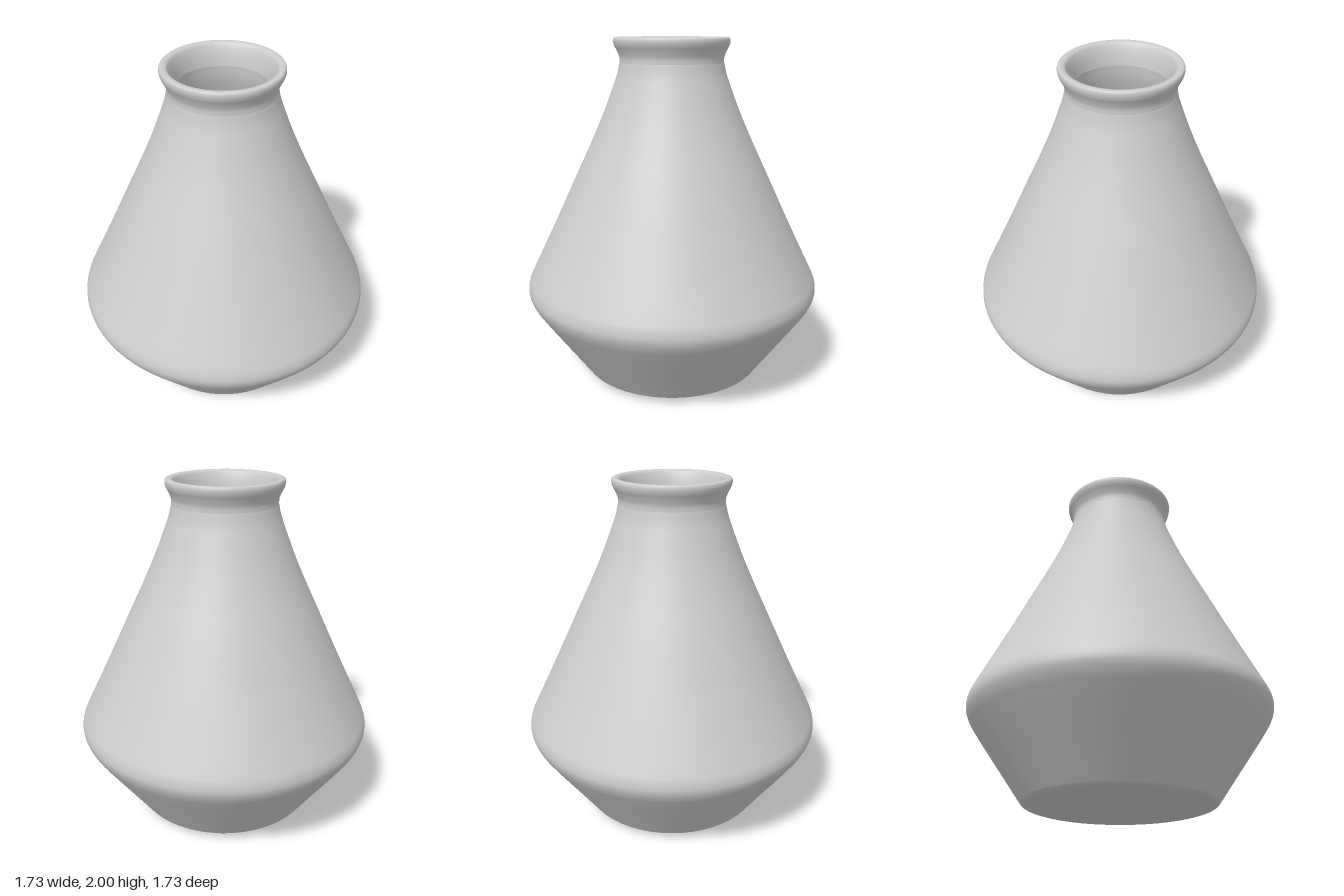
import * as THREE from 'three';

const material = new THREE.MeshStandardMaterial({ color: 0xcccccc, side: THREE.DoubleSide });

// Turned surface through a smooth curve of [radius, height] points
function turned(name, points, samples) {
  const curve = new THREE.CatmullRomCurve3(
    points.map(([r, y]) => new THREE.Vector3(r, y, 0)), false, 'centripetal');
  const profile = curve.getPoints(samples).map(p => new THREE.Vector2(Math.max(p.x, 0), p.y));
  const geometry = new THREE.LatheGeometry(profile, 96);

  // Hand-thrown lean: the neck drifts slightly sideways above the belly
  const pos = geometry.attributes.position;
  for (let i = 0; i < pos.count; i++) {
    const lean = Math.max(0, pos.getY(i) - 0.54) / 1.46;
    pos.setX(i, pos.getX(i) - 0.008 * lean);
  }
  const mesh = new THREE.Mesh(geometry, material);
  mesh.name = name;
  return mesh;
}

export function createModel() {
  const vase = new THREE.Group();
  vase.name = 'vase';

  // Slightly domed underside with a rounded foot edge
  vase.add(turned('base', [
    [0, 0], [0.25, 0.006], [0.42, 0.014], [0.5, 0.024], [0.535, 0.037], [0.552, 0.058],
  ], 40));

  // Flared lower body, rounded belly, tapering shoulder and neck
  vase.add(turned('body', [
    [0.552, 0.058], [0.65, 0.197], [0.75, 0.338], [0.81, 0.424], [0.845, 0.478],
    [0.863, 0.52], [0.867, 0.55], [0.86, 0.59], [0.84, 0.635], [0.78, 0.757],
    [0.67, 0.985], [0.55, 1.24], [0.46, 1.43], [0.39, 1.59], [0.34, 1.72],
    [0.312, 1.8], [0.298, 1.86],
  ], 120));

  // Flared lip rolling over into the mouth
  vase.add(turned('rim', [
    [0.298, 1.86], [0.299, 1.89], [0.312, 1.925], [0.327, 1.955], [0.332, 1.98],
    [0.327, 1.996], [0.312, 2], [0.292, 1.994], [0.278, 1.97], [0.264, 1.925], [0.255, 1.875],
  ], 60));

  // Hollow inside following the outer wall
  vase.add(turned('interior', [
    [0.255, 1.875], [0.265, 1.8], [0.293, 1.71], [0.345, 1.575], [0.415, 1.415],
    [0.505, 1.22], [0.62, 0.975], [0.73, 0.745], [0.79, 0.62], [0.815, 0.55],
    [0.79, 0.49], [0.7, 0.355], [0.6, 0.215], [0.525, 0.108], [0.48, 0.078], [0.3, 0.065], [0, 0.06],
  ], 100));

  return vase;
}
